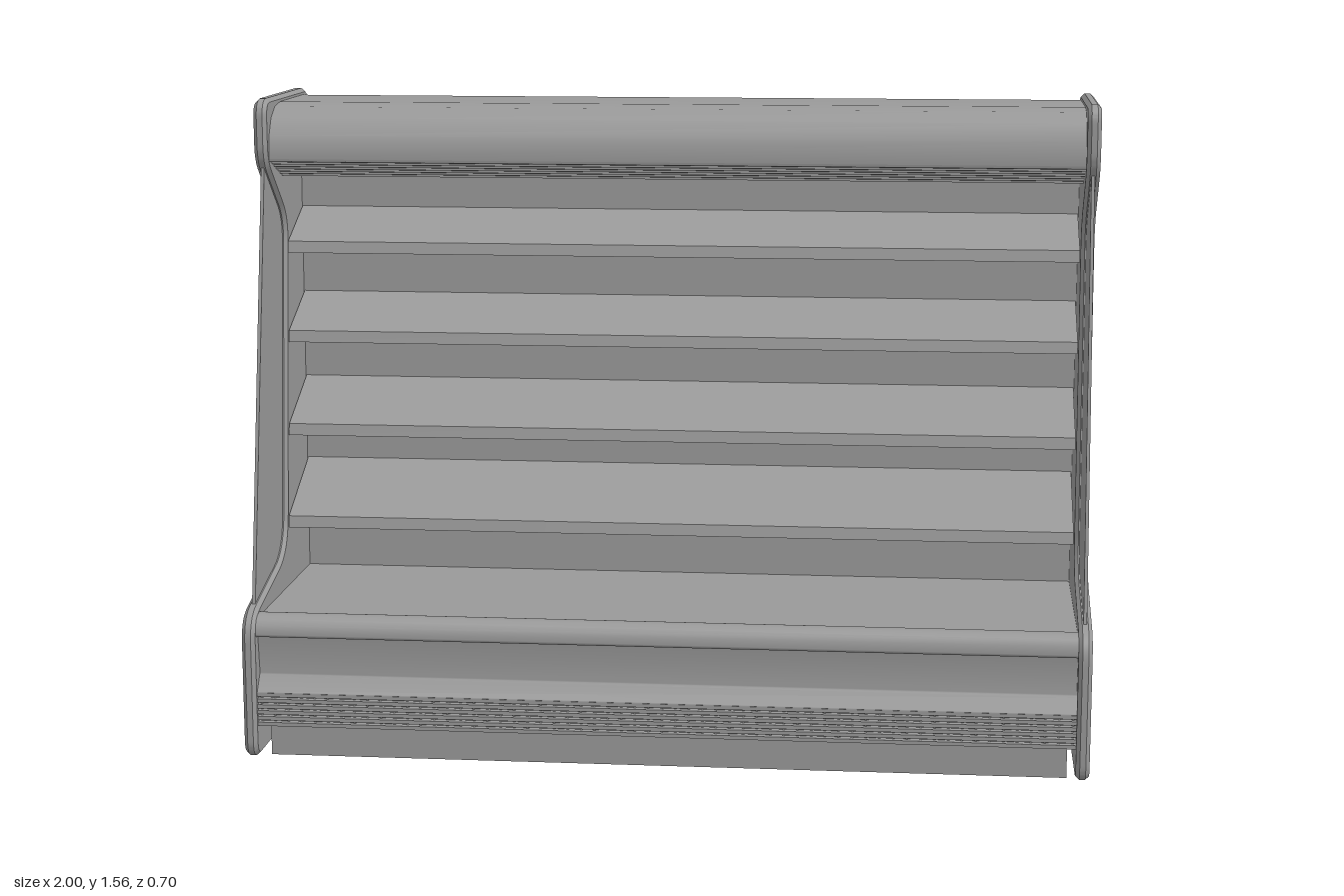
import * as THREE from 'three';
import { toCreasedNormals } from 'three/addons/utils/BufferGeometryUtils.js';

const material = new THREE.MeshStandardMaterial({ color: 0x999999, side: THREE.DoubleSide });
const INNER = 0.968; // inner face of the side panels

// Outline in (z, y) from corners [z, y, radius]
function outline(corners) {
  const shape = new THREE.Shape();
  const n = corners.length;
  corners.forEach(([z, y, r = 0], i) => {
    const toward = ([a, b]) => {
      const d = Math.hypot(a - z, b - y);
      return [z + (a - z) * r / d, y + (b - y) * r / d];
    };
    const start = toward(corners[(i + n - 1) % n]);
    if (i === 0) shape.moveTo(...start); else shape.lineTo(...start);
    if (r) shape.quadraticCurveTo(z, y, ...toward(corners[(i + 1) % n]));
  });
  shape.closePath();
  return shape;
}

// Profile in (z, y) extruded across x, centred on cx
function across(name, corners, width, { cx = 0, bevel = 0, segments = 10, crease = 0.3 } = {}) {
  let g = new THREE.ExtrudeGeometry(outline(corners), {
    depth: width - 2 * bevel, curveSegments: segments,
    bevelEnabled: bevel > 0, bevelSize: bevel, bevelThickness: bevel,
    bevelOffset: -bevel, bevelSegments: 1,
  });
  g.translate(0, 0, -(width - 2 * bevel) / 2);
  g.rotateY(-Math.PI / 2);
  g.translate(cx, 0, 0);
  g = toCreasedNormals(g, crease);
  const mesh = new THREE.Mesh(g, material);
  mesh.name = name;
  return mesh;
}

function box(name, w, h, d, x, y, z) {
  const mesh = new THREE.Mesh(new THREE.BoxGeometry(w, h, d), material);
  mesh.position.set(x, y, z);
  mesh.name = name;
  return mesh;
}

export function createModel() {
  const model = new THREE.Group();
  model.name = 'openDisplayCase';

  // C-shaped cabinet: base, back wall and canopy in one softly shaded section
  model.add(across('cabinet', [
    [-0.335, 0.085, 0.04], [0.318, 0.085], [0.318, 0.168], [0.337, 0.168, 0.004],
    [0.303, 0.21, 0.008], [0.315, 0.305], [0.337, 0.305, 0.008], [0.335, 0.357, 0.042],
    [0.29, 0.357, 0.002], [0.285, 0.347], [-0.24, 0.347],
    [-0.255, 1.365], [-0.06, 1.365], [0.06, 1.41], [0.08, 1.41, 0.004],
    [0.08, 1.545, 0.128], [-0.335, 1.545, 0.05],
  ], 2 * INNER, { segments: 4, crease: 0.6 }));

  // Plinth
  model.add(box('plinth', 1.9, 0.09, 0.59, 0, 0.045, -0.015));

  // Side panels with chamfered rims, and the thin glass filling their front recess
  for (const s of [-1, 1]) {
    model.add(across('sidePanel', [
      [0.35, 0.008, 0.045], [0.35, 0.357, 0.065], [-0.002, 0.44, 0.09],
      [-0.09, 1.255, 0.06], [0.1, 1.41, 0.045], [0.1, 1.56, 0.045],
      [-0.35, 1.56, 0.045], [-0.35, 0.008, 0.045],
    ], 1 - INNER, { cx: s * (1 + INNER) / 2, bevel: 0.009 }));
    model.add(across('sideGlass', [
      [0.285, 0.36], [0.08, 1.395], [-0.105, 1.26], [-0.02, 0.42],
    ], 0.008, { cx: s * 0.984 }));
  }

  // Sloping shelves: front z, front top y, rise to the back; three trays each
  const shelves = [
    [-0.085, 1.2, 0.07], [-0.07, 0.98, 0.075], [-0.048, 0.75, 0.09], [-0.02, 0.522, 0.108],
  ];
  const tray = 2 * 0.966 / 3;
  for (const [zf, y, rise] of shelves) {
    const shelf = new THREE.Group();
    shelf.name = 'shelf';
    for (const i of [-1, 0, 1]) {
      shelf.add(across('shelfTray', [
        [zf + 0.006, y - 0.028], [zf, y], [-0.25, y + rise],
        [-0.25, y + rise - 0.016], [zf - 0.012, y - 0.012], [zf - 0.008, y - 0.028],
      ], tray, { cx: i * tray }));
    }
    model.add(shelf);
  }

  // Intake grille: slats over upright bars
  const grille = new THREE.Group();
  grille.name = 'frontGrille';
  for (let i = 0; i < 6; i++) {
    grille.add(box('grilleSlat', 2 * INNER, 0.009, 0.016, 0, 0.092 + i * 0.0144, 0.328));
  }
  for (let i = 0; i <= 60; i++) {
    grille.add(box('grilleBar', 0.006, 0.076, 0.008, -0.96 + i * 0.032, 0.128, 0.32));
  }
  model.add(grille);

  // Air outlet ribs along the sloping canopy underside
  for (let i = 0; i < 6; i++) {
    const t = (i + 0.5) / 6;
    model.add(box('airOutletRib', 2 * INNER, 0.008, 0.005, 0, 1.365 + 0.045 * t, -0.06 + 0.12 * t));
  }

  return model;
}
